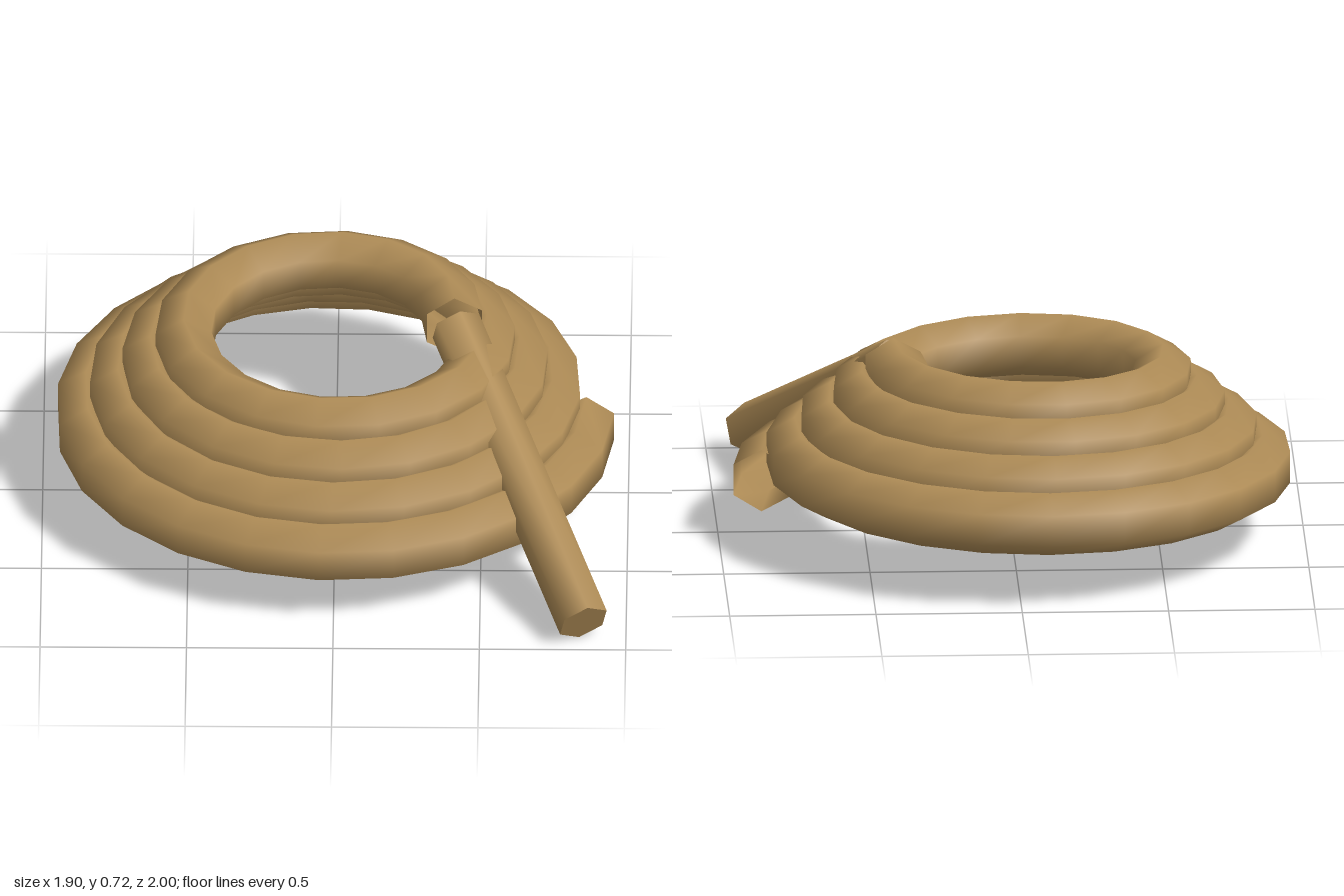
import * as THREE from 'three';

const rope = new THREE.MeshStandardMaterial({ color: 0xb08d57, side: THREE.DoubleSide });
rope.name = 'rope tan';

// Sweeps a six-sided section, one corner up, along a list of points
function sweep(name, points, radius, capped) {
  const sides = 6, pos = [], index = [], last = points.length - 1;
  const up = new THREE.Vector3(0, 1, 0);
  points.forEach((p, i) => {
    const dir = points[Math.min(i + 1, last)].clone().sub(points[Math.max(i - 1, 0)]).normalize();
    const side = dir.clone().cross(up).normalize();
    const top = side.clone().cross(dir);
    for (let j = 0; j < sides; j++) {
      const a = (j / sides) * Math.PI * 2;
      const v = p.clone().addScaledVector(top, radius * Math.cos(a)).addScaledVector(side, radius * Math.sin(a));
      pos.push(v.x, v.y, v.z);
      if (i < last) {
        const k = (j + 1) % sides, b = i * sides, c = b + sides;
        index.push(b + j, b + k, c + j, b + k, c + k, c + j);
      }
    }
  });
  // Flat ends with their own corners
  if (capped) {
    for (const ring of [0, last]) {
      const base = pos.length / 3;
      for (let j = 0; j < sides * 3; j++) pos.push(pos[ring * sides * 3 + j]);
      for (let j = 1; j < sides - 1; j++) {
        if (ring) index.push(base, base + j, base + j + 1);
        else index.push(base, base + j + 1, base + j);
      }
    }
  }
  const geo = new THREE.BufferGeometry();
  geo.setAttribute('position', new THREE.Float32BufferAttribute(pos, 3));
  geo.setIndex(index);
  geo.computeVertexNormals();
  const mesh = new THREE.Mesh(geo, rope);
  mesh.name = name;
  return mesh;
}

export function createModel() {
  const group = new THREE.Group();
  group.name = 'coiledRope';

  // Coil: four turns rising and narrowing, with steps that widen in angle towards the top
  const turns = 4, steps = 80, coil = [];
  for (let i = 0; i <= steps; i++) {
    const u = i / steps;
    const t = u + 0.17 * u * (u - 1);
    const a = t * turns * Math.PI * 2;
    const r = 0.885 - 0.45 * t;
    coil.push(new THREE.Vector3(-0.03 + r * Math.cos(a), 0.21 + 0.395 * t, -0.1 + r * Math.sin(a)));
  }
  group.add(sweep('coil', coil, 0.11, false));

  // Loose end: hangs from the top of the coil down to the ground in front
  const tail = [new THREE.Vector3(0.41, 0.613, -0.09), new THREE.Vector3(0.855, 0.08, 0.955)];
  group.add(sweep('looseEnd', tail, 0.09, true));

  return group;
}
